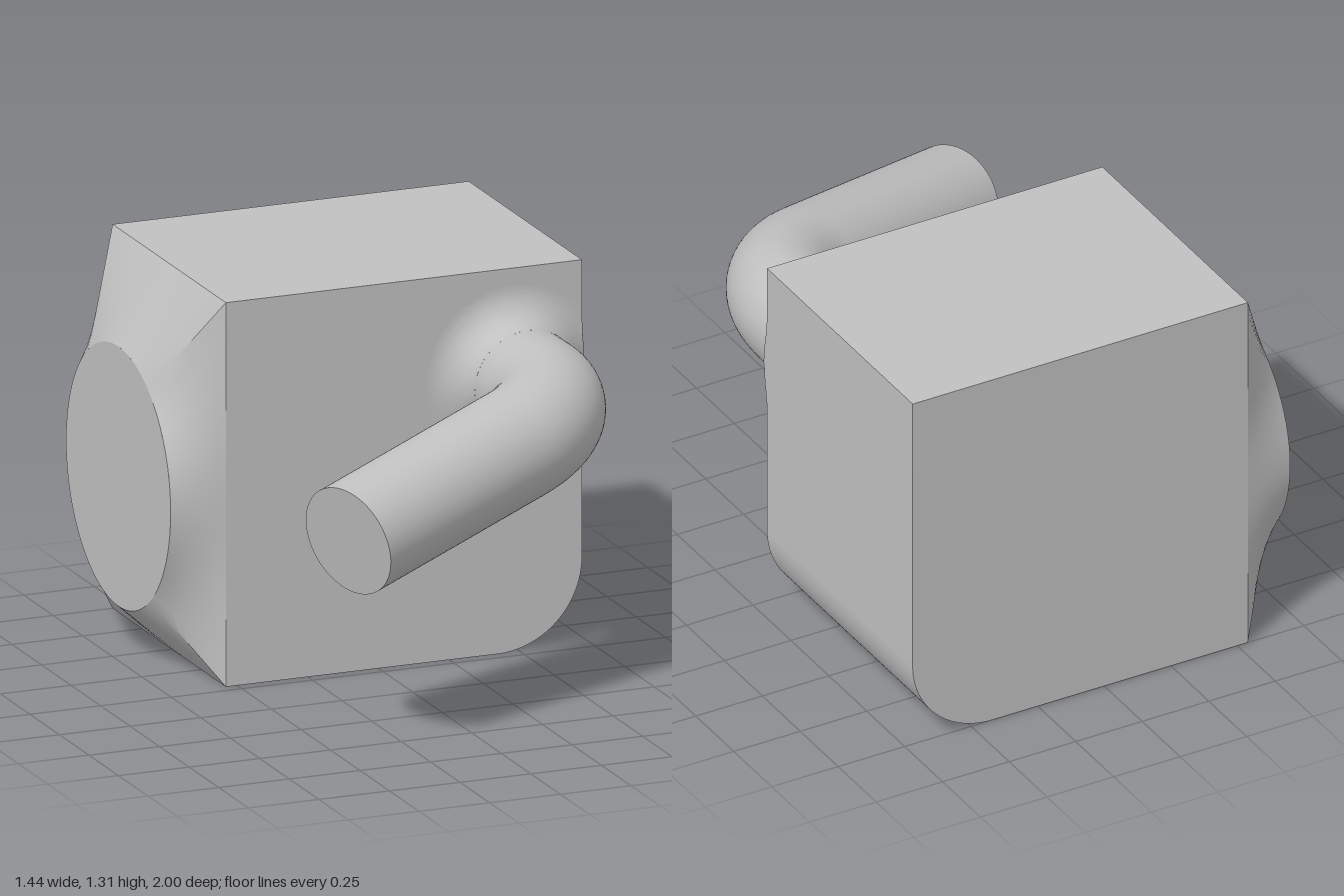
import * as THREE from 'three';
import { toCreasedNormals } from 'three/addons/utils/BufferGeometryUtils.js';

const V = (x, y, z) => new THREE.Vector3(x, y, z);
const LEFT = -0.54, RIGHT = 0.72, TOP = 1.31, BACK = -1, FRONT = -0.04;
const PIPE_R = 0.19;

export function createModel() {
  const group = new THREE.Group();
  const grey = new THREE.MeshStandardMaterial({ color: 0xc0c0c0 });
  grey.name = 'grey';
  const add = (name, geometry) => {
    const mesh = new THREE.Mesh(geometry, grey);
    mesh.name = name;
    group.add(mesh);
    return mesh;
  };

  // Block with one rounded lower edge
  const r = 0.3;
  const outline = new THREE.Shape();
  outline.moveTo(LEFT, 0);
  outline.lineTo(RIGHT - r, 0);
  outline.absarc(RIGHT - r, r, r, -Math.PI / 2, 0, false);
  outline.lineTo(RIGHT, TOP);
  outline.lineTo(LEFT, TOP);
  const block = new THREE.ExtrudeGeometry(outline, { depth: FRONT - BACK, bevelEnabled: false, curveSegments: 24 });
  block.translate(0, 0, BACK);
  add('block', toCreasedNormals(block, 0.5));

  // Side boss: the block's rectangular side blends into a circle
  const cy = 0.605, cz = (FRONT + BACK) / 2, bossR = 0.443, bossX = -0.72;
  const halfZ = (FRONT - BACK) / 2;
  const c = Math.atan2(TOP - cy, halfZ), d = Math.atan2(cy, halfZ);
  const corners = [-d, c, Math.PI - c, Math.PI + d, 2 * Math.PI - d];
  const loft = new THREE.PlaneGeometry(1, 1, 96, 8);
  const p = loft.attributes.position;
  for (let i = 0; i < p.count; i++) {
    const u = (p.getX(i) + 0.5) * 4, t = p.getY(i) + 0.5;
    const side = Math.min(3, Math.floor(u + 1e-6));
    const a = THREE.MathUtils.lerp(corners[side], corners[side + 1], u - side);
    const cos = Math.cos(a), sin = Math.sin(a);
    const reach = Math.min(halfZ / Math.abs(cos), (sin > 0 ? TOP - cy : cy) / Math.abs(sin));
    const radius = THREE.MathUtils.lerp(reach, bossR, t);
    p.setXYZ(i, THREE.MathUtils.lerp(LEFT, bossX, t), cy + radius * sin, cz + radius * cos);
  }
  add('sideBoss', toCreasedNormals(loft, 0.5));
  const bossFace = add('bossFace', new THREE.CircleGeometry(bossR, 96));
  bossFace.rotation.y = -Math.PI / 2;
  bossFace.position.set(bossX, cy, cz);

  // Bent pipe: straight, arc, straight
  const corner = V(0.48, 0.94, 0.42), end = V(-0.468, 0.73, 0.825), start = V(0.48, 0.94, 0.08);
  const inDir = V(0, 0, 1), outDir = end.clone().sub(corner).normalize();
  const bendR = 0.38, angle = inDir.angleTo(outDir);
  const tangent = bendR * Math.tan(angle / 2), handle = bendR * 4 / 3 * Math.tan(angle / 4);
  const bendA = corner.clone().addScaledVector(inDir, -tangent);
  const bendB = corner.clone().addScaledVector(outDir, tangent);
  const path = new THREE.CurvePath();
  path.add(new THREE.LineCurve3(start, bendA));
  path.add(new THREE.CubicBezierCurve3(bendA, bendA.clone().addScaledVector(inDir, handle),
    bendB.clone().addScaledVector(outDir, -handle), bendB));
  path.add(new THREE.LineCurve3(bendB, end));
  add('pipe', new THREE.TubeGeometry(path, 80, PIPE_R, 64));
  const pipeEnd = add('pipeEnd', new THREE.CircleGeometry(PIPE_R, 64));
  pipeEnd.position.copy(end);
  pipeEnd.quaternion.setFromUnitVectors(V(0, 0, 1), outDir);

  // Flared fillet at the pipe's root, trimmed flush with the block's side
  const f = 0.12, profile = [];
  for (let i = 0; i <= 20; i++) {
    const a = (i / 20) * Math.PI / 2;
    profile.push(new THREE.Vector2(PIPE_R + f - f * Math.sin(a), f - f * Math.cos(a)));
  }
  const flare = new THREE.LatheGeometry(profile, 128);
  flare.rotateX(Math.PI / 2);
  flare.translate(0.48, 0.94, FRONT);
  const q = flare.attributes.position;
  for (let i = 0; i < q.count; i++) q.setX(i, Math.min(q.getX(i), RIGHT));
  add('pipeFillet', toCreasedNormals(flare, 0.5));

  return group;
}
